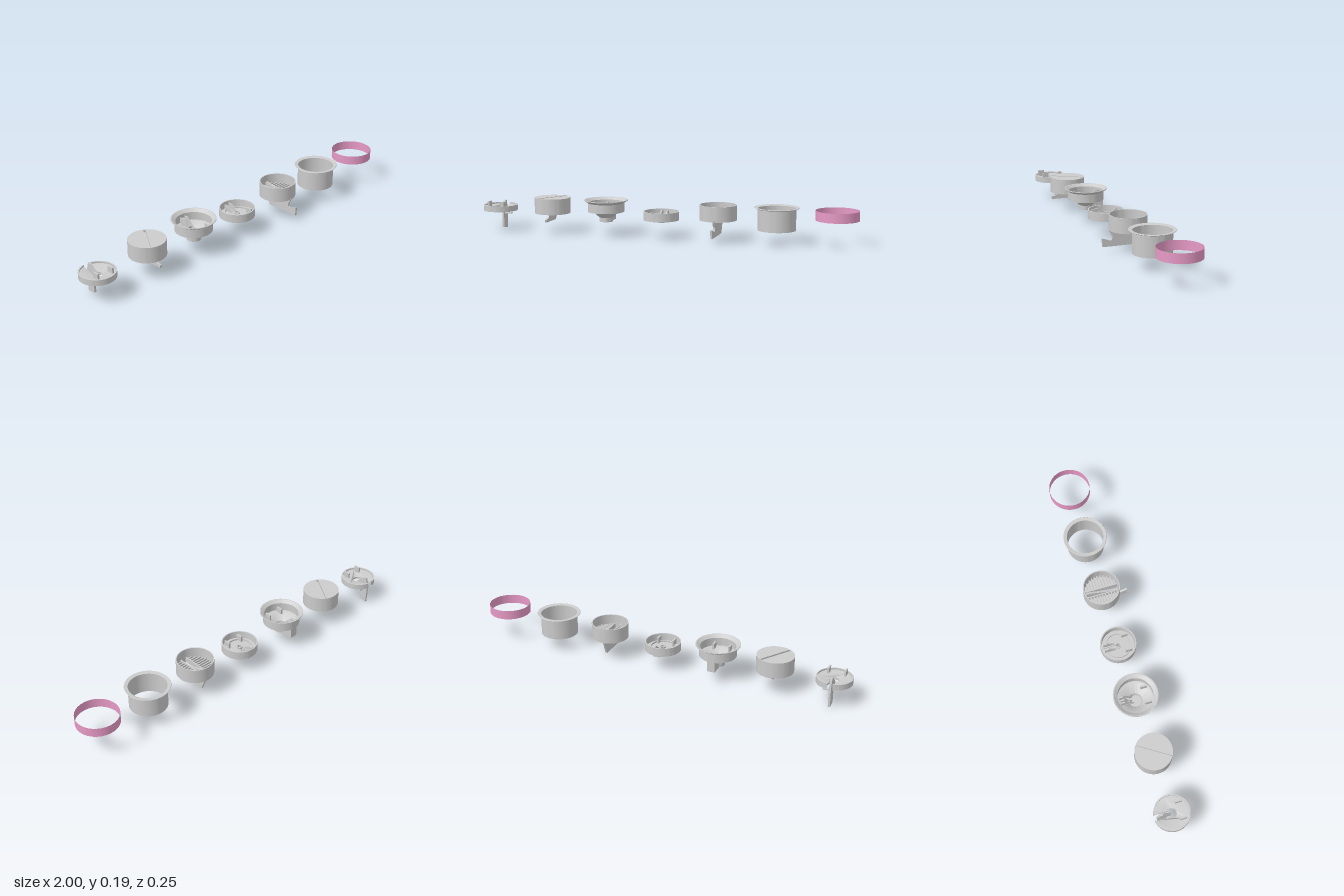
import * as THREE from 'three';
import { toCreasedNormals } from 'three/addons/utils/BufferGeometryUtils.js';

const grey = new THREE.MeshStandardMaterial({ color: 0xcccccc, side: THREE.DoubleSide });
const pink = new THREE.MeshStandardMaterial({ color: 0xe79ac6, side: THREE.DoubleSide });
const Z0 = -0.0075;

function add(group, name, geometry, material = grey) {
  const mesh = new THREE.Mesh(toCreasedNormals(geometry, 0.6), material);
  mesh.name = name;
  group.add(mesh);
  return mesh;
}

// Turned surface from [radius, y] pairs; gap is the half angle left open at the back
function turned(profile, gap = 0) {
  const points = profile.map(([r, y]) => new THREE.Vector2(r, y));
  return new THREE.LatheGeometry(points, 64, Math.PI + gap, Math.PI * 2 - gap * 2);
}

// Upright plate in the z-y plane, centred on x, from [z, y] pairs
function plate(outline, thickness, x = 0) {
  const shape = new THREE.Shape(outline.map(([z, y]) => new THREE.Vector2(-z + Z0, y)));
  const geo = new THREE.ExtrudeGeometry(shape, { depth: thickness, bevelEnabled: false });
  return geo.translate(0, 0, -thickness / 2).rotateY(Math.PI / 2).translate(x, 0, 0);
}

function box(w, h, d, x, y, z) {
  return new THREE.BoxGeometry(w, h, d).translate(x, y, z);
}

function flat(shape, height, y) {
  const geo = new THREE.ExtrudeGeometry(shape, { depth: height, bevelEnabled: false, curveSegments: 40 });
  return geo.rotateX(-Math.PI / 2).translate(0, y, 0);
}

// Ring-shaped floor with a slot open to the back; slope lifts it towards the rim
function slottedFloor(rOut, rIn, halfSlot, y, height, slope = 0) {
  const a = Math.asin(halfSlot / rOut), b = Math.asin(halfSlot / rIn), q = Math.PI / 2;
  const shape = new THREE.Shape();
  shape.absarc(0, 0, rOut, q + a, q - a + Math.PI * 2, false);
  shape.absarc(0, 0, rIn, q - b + Math.PI * 2, q + b, true);
  const geo = flat(shape, height, y);
  const p = geo.attributes.position;
  for (let i = 0; i < p.count; i++) {
    p.setY(i, p.getY(i) + slope * (Math.hypot(p.getX(i), p.getZ(i)) - rIn));
  }
  geo.computeVertexNormals();
  return geo;
}

// Pair of small upright tabs near the front of a floor
function tabs(group, y0, y1, z) {
  for (const s of [-1, 1]) {
    add(group, 'tab', box(0.009, y1 - y0, 0.034, s * 0.042, (y0 + y1) / 2, z));
  }
}

// Two wedge-shaped walls along the back slot
function slotWalls(group, y0, y1, zBack) {
  for (const s of [-1, 1]) {
    add(group, 'slotWall', plate([[-0.018, y0], [zBack, y0], [zBack, y1], [zBack + 0.02, y1]], 0.006, s * 0.015));
  }
}

function slottedDish() {
  const g = new THREE.Group();
  add(g, 'rim', turned([[0.083, 0.106], [0.09, 0.106], [0.09, 0.136], [0.083, 0.136], [0.083, 0.106]], 0.17));
  add(g, 'floor', slottedFloor(0.084, 0.024, 0.015, 0.105, 0.01, 0.22));
  add(g, 'hangingArm', plate([[-0.034, 0.008], [-0.077, 0.002], [-0.083, 0.105], [-0.07, 0.152],
    [-0.055, 0.152], [-0.012, 0.112], [-0.012, 0.1], [-0.034, 0.095]], 0.011));
  add(g, 'catch', box(0.042, 0.006, 0.02, 0.02, 0.084, -0.045));
  tabs(g, 0.115, 0.158, 0.045);
  return g;
}

function slottedCap() {
  const g = new THREE.Group();
  add(g, 'body', turned([[0, 0.105], [0.094, 0.105], [0.094, 0.187], [0.09, 0.187], [0.09, 0.174], [0, 0.174]]));
  // Two half lids leave a straight groove between them
  const a = Math.asin(0.006 / 0.093);
  for (const turn of [0, Math.PI]) {
    const lid = new THREE.Shape();
    lid.absarc(0, 0, 0.093, a, Math.PI - a, false);
    lid.closePath();
    add(g, 'halfLid', flat(lid, 0.013, 0.174).rotateY(turn + 1.0));
  }
  add(g, 'lowerBlade', plate([[0.088, 0.08], [0.085, 0.066], [-0.035, 0.066], [-0.07, 0.106],
    [0.045, 0.106], [0.06, 0.086]], 0.01));
  return g;
}

function funnel() {
  const g = new THREE.Group();
  add(g, 'flangedBowl', turned([[0.092, 0.17], [0.113, 0.183], [0.113, 0.187], [0.108, 0.187],
    [0.09, 0.174], [0.09, 0.132], [0.07, 0.128], [0.035, 0.1], [0.03, 0.075], [0.036, 0.073],
    [0.036, 0.096], [0.066, 0.122], [0.095, 0.125], [0.095, 0.17]]));
  add(g, 'spoutFloor', turned([[0, 0.08], [0.032, 0.08]]));
  add(g, 'backChannel', box(0.04, 0.056, 0.062, 0, 0.1, -0.062));
  slotWalls(g, 0.115, 0.165, -0.088);
  add(g, 'centreFin', plate([[-0.025, 0.1], [-0.085, 0.1], [-0.085, 0.16], [-0.065, 0.16]], 0.007));
  tabs(g, 0.128, 0.158, 0.055);
  return g;
}

function shallowCup() {
  const g = new THREE.Group();
  add(g, 'wall', turned([[0.084, 0.096], [0.092, 0.096], [0.092, 0.14], [0.086, 0.14], [0.084, 0.096]]));
  add(g, 'floor', slottedFloor(0.086, 0.014, 0.006, 0.096, 0.008));
  add(g, 'innerRing', turned([[0.062, 0.1], [0.062, 0.112], [0.066, 0.112], [0.066, 0.1]], 0.25));
  add(g, 'centreRing', turned([[0.01, 0.084], [0.01, 0.112], [0.015, 0.112], [0.015, 0.098], [0.034, 0.096],
    [0.03, 0.084], [0.01, 0.084]]));
  add(g, 'underChannel', box(0.036, 0.012, 0.055, 0, 0.092, -0.055));
  slotWalls(g, 0.1, 0.134, -0.082);
  tabs(g, 0.1, 0.135, 0.045);
  return g;
}

function gratedCup() {
  const g = new THREE.Group();
  add(g, 'wall', turned([[0.089, 0.11], [0.095, 0.11], [0.095, 0.187], [0.09, 0.187], [0.089, 0.11]]));
  for (const s of [-1, 1]) {
    // Half floor on each side of the long slot
    const a = Math.asin(0.016 / 0.092);
    const half = new THREE.Shape();
    half.absarc(0, 0, 0.092, -Math.PI / 2 + a, Math.PI / 2 - a, false);
    half.closePath();
    add(g, 'halfFloor', flat(half, 0.006, 0.11).rotateY(s > 0 ? 0 : Math.PI));
    add(g, 'slotBar', box(0.006, 0.026, 0.178, s * 0.017, 0.127, 0));
    for (let i = -5; i <= 5; i++) {
      const z = i * 0.0155, len = Math.sqrt(0.0905 ** 2 - z * z) - 0.018;
      add(g, 'slat', box(len, 0.022, 0.006, s * (0.018 + len / 2), 0.126, z));
    }
  }
  add(g, 'longBlade', plate([[0.1295, 0.077], [0.1255, 0.033], [-0.0575, 0.033], [-0.0745, 0.075], [-0.09, 0.11],
    [-0.09, 0.155], [-0.07, 0.155], [0.02, 0.122], [0.09, 0.116], [0.09, 0.11], [0.075, 0.085],
    [0.077, 0.068], [0.085, 0.0625], [0.095, 0.0655]].map(([z, y]) => [z, y]), 0.01));
  return g;
}

function flangedSleeve() {
  const g = new THREE.Group();
  add(g, 'sleeve', turned([[0.0955, 0.073], [0.0955, 0.181], [0.105, 0.181], [0.1135, 0.185],
    [0.112, 0.187], [0.095, 0.185]]));
  return g;
}

function band() {
  const g = new THREE.Group();
  add(g, 'band', turned([[0.107, 0.136], [0.107, 0.184]]), pink);
  return g;
}

export function createModel() {
  const model = new THREE.Group();
  model.name = 'explodedAssembly';
  const parts = { slottedDish, slottedCap, funnel, shallowCup, gratedCup, flangedSleeve, band };
  // Parts laid out in a row at an even pitch
  Object.entries(parts).forEach(([name, build], i) => {
    const part = build();
    part.name = name;
    part.position.set(-0.91 + i * 0.3005, 0, Z0);
    model.add(part);
  });
  return model;
}
